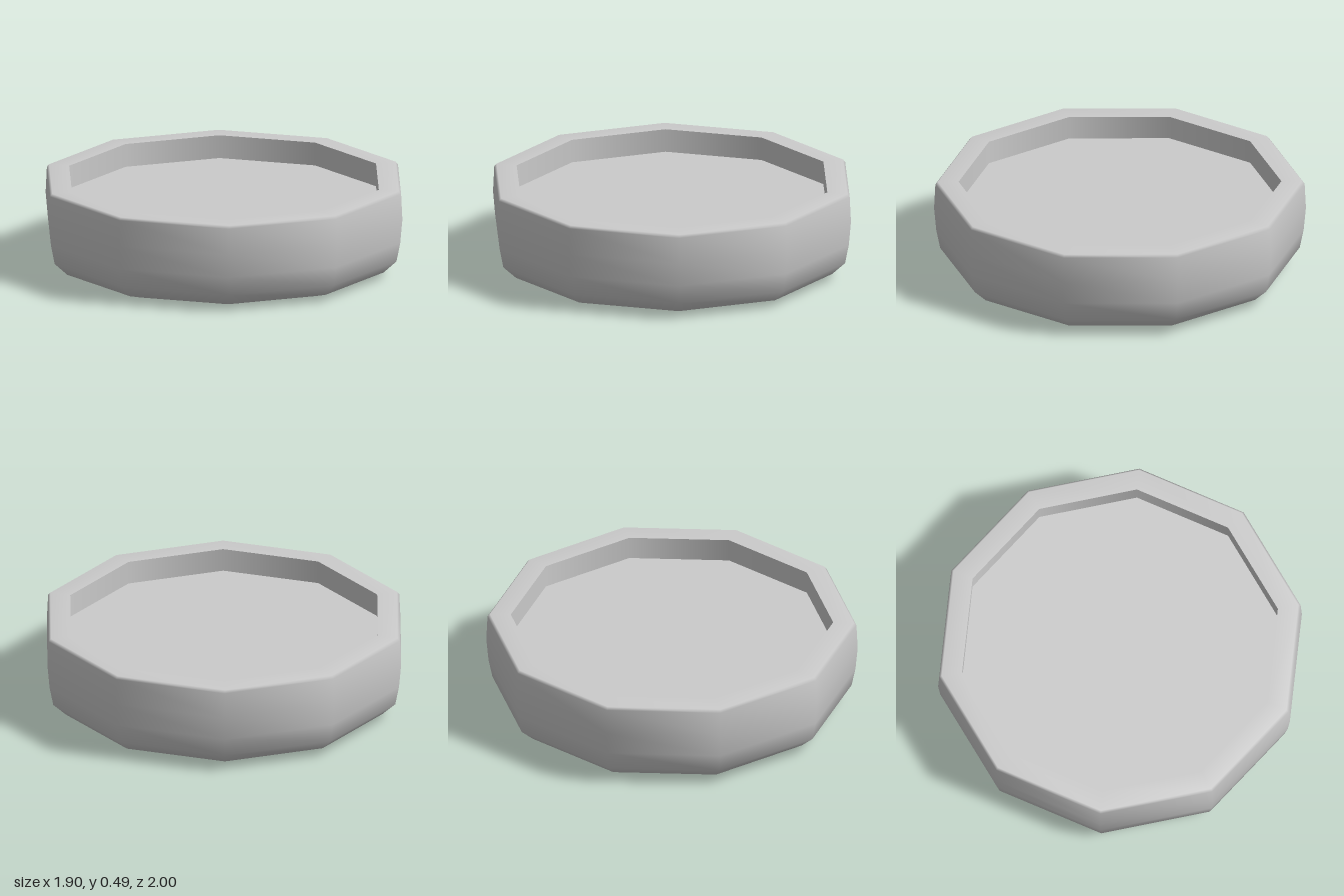
import * as THREE from 'three';

const SIDES = 10;

// Ten-sided turned surface from [radius, height] pairs, with a corner facing +z
function turned(name, profile, material) {
  const points = profile.map(([r, y]) => new THREE.Vector2(r, y));
  const mesh = new THREE.Mesh(new THREE.LatheGeometry(points, SIDES), material);
  mesh.name = name;
  return mesh;
}

export function createModel() {
  const group = new THREE.Group();
  group.name = 'shallowDish';
  const material = new THREE.MeshStandardMaterial({ color: 0xcccccc });

  const rimTop = 0.487, floorY = 0.36, innerR = 0.868;

  // Rounded outer body, smooth from the base up and over the rim
  group.add(turned('outerBody', [
    [0, 0], [0.8, 0], [0.895, 0.028], [0.967, 0.095], [0.988, 0.2],
    [1, 0.33], [0.993, 0.472], [0.98, rimTop], [innerR, rimTop],
  ], material));

  // Upright wall of the recess
  group.add(turned('innerWall', [[innerR, rimTop], [innerR, floorY]], material));

  // Flat floor of the recess
  group.add(turned('recessFloor', [[innerR, floorY], [0, floorY]], material));

  return group;
}
